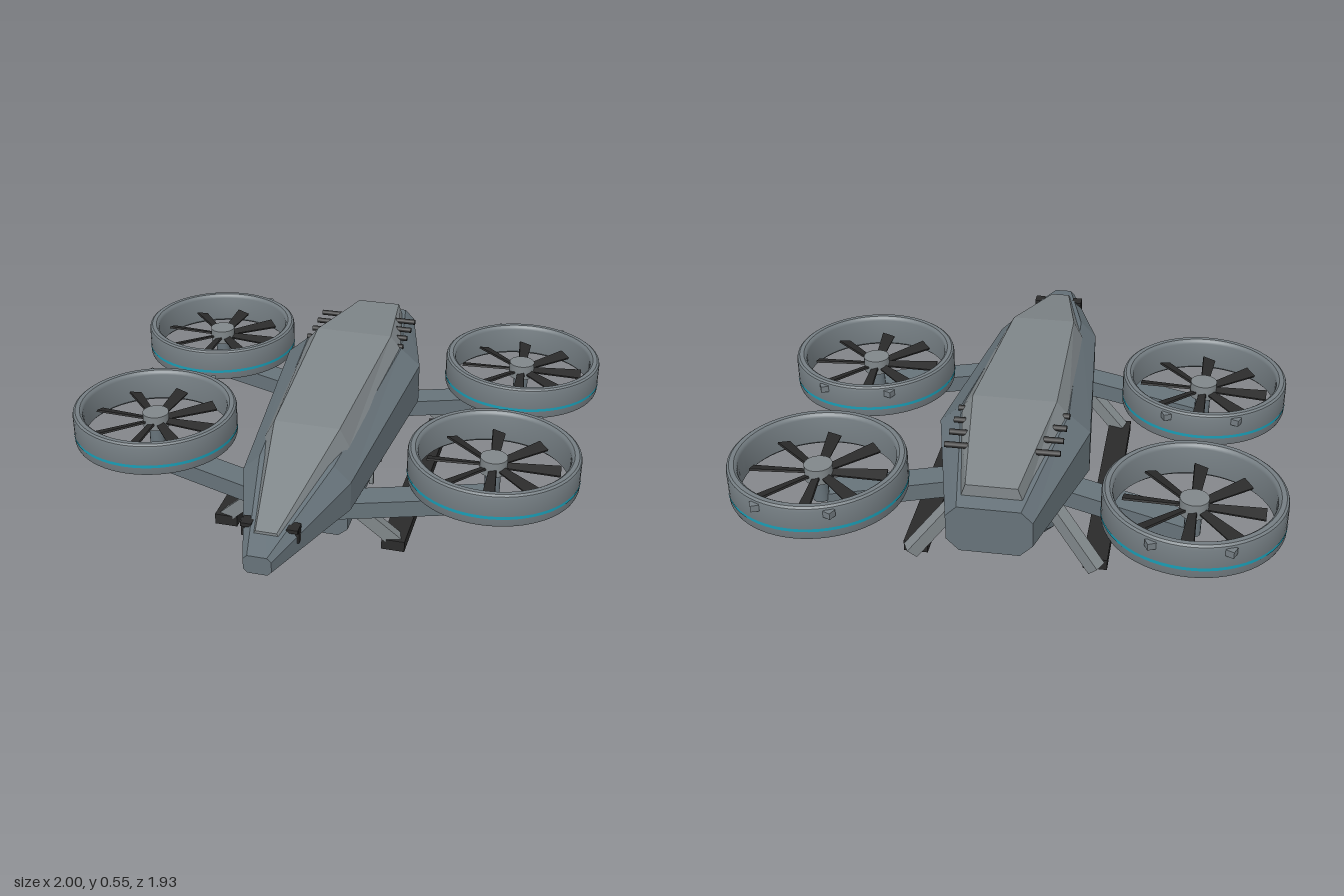
import * as THREE from 'three';
import { toCreasedNormals } from 'three/addons/utils/BufferGeometryUtils.js';

const material = (name, color, flatShading = false) => {
  const m = new THREE.MeshStandardMaterial({ color, flatShading });
  m.name = name;
  return m;
};

// Loft through sections { z, half }, where half lists [x, y] from bottom to top on the +x side.
function loft(sections) {
  const rings = sections.map(({ z, half }) => [
    ...half.map(([x, y]) => [x, y, z]),
    ...[...half].reverse().map(([x, y]) => [-x, y, z]),
  ]);
  const pos = [];
  const tri = (a, b, c) => pos.push(...a, ...b, ...c);
  const n = rings[0].length;
  for (let s = 0; s < rings.length - 1; s++) {
    const a = rings[s], b = rings[s + 1];
    for (let i = 0; i < n; i++) {
      const j = (i + 1) % n;
      tri(a[i], b[i], b[j]);
      tri(a[i], b[j], a[j]);
    }
  }
  const first = rings[0], last = rings[rings.length - 1];
  for (let i = 1; i < n - 1; i++) {
    tri(first[0], first[i], first[i + 1]);
    tri(last[0], last[i + 1], last[i]);
  }
  const g = new THREE.BufferGeometry();
  g.setAttribute('position', new THREE.Float32BufferAttribute(pos, 3));
  g.computeVertexNormals();
  return g;
}

export function createModel() {
  const root = new THREE.Group();
  root.name = 'quadRotorCraft';

  const hullGrey = material('hull grey', 0x67737a);
  const canopyGrey = material('canopy grey', 0x80878a);
  const ductGrey = material('duct grey', 0x747d82);
  const black = material('matte black', 0x2a2a2a);
  const teal = material('teal stripe', 0x1a9db5);

  const add = (parent, name, geometry, mat, x = 0, y = 0, z = 0) => {
    const mesh = new THREE.Mesh(geometry, mat);
    mesh.name = name;
    mesh.position.set(x, y, z);
    parent.add(mesh);
    return mesh;
  };
  const box = (w, h, d) => new THREE.BoxGeometry(w, h, d);

  // Rectangular bar running from point a to point b
  const beam = (name, a, b, w, h, mat) => {
    const p = new THREE.Vector3(...a), q = new THREE.Vector3(...b);
    const mesh = add(root, name, box(w, h, p.distanceTo(q)), mat);
    mesh.position.copy(p).add(q).multiplyScalar(0.5);
    mesh.lookAt(q);
    return mesh;
  };

  // Faceted hull: bottom, lower side, upper side and top corners of each section
  add(root, 'hull', loft([
    { z: 0.96, half: [[0.035, 0.27], [0.05, 0.285], [0.05, 0.325], [0.035, 0.34]] },
    { z: 0.48, half: [[0.14, 0.197], [0.203, 0.255], [0.203, 0.37], [0.14, 0.432]] },
    { z: -0.38, half: [[0.2, 0.185], [0.28, 0.265], [0.28, 0.43], [0.2, 0.5]] },
    { z: -0.91, half: [[0.105, 0.25], [0.15, 0.295], [0.15, 0.39], [0.11, 0.43]] },
  ]), hullGrey);

  // Raised canopy along the back of the hull
  add(root, 'canopy', loft([
    { z: 0.855, half: [[0.052, 0.345], [0.038, 0.37]] },
    { z: 0.34, half: [[0.162, 0.435], [0.125, 0.505]] },
    { z: -0.38, half: [[0.198, 0.495], [0.155, 0.549]] },
    { z: -0.85, half: [[0.11, 0.425], [0.09, 0.482]] },
  ]), canopyGrey);

  // Cargo pod under the belly
  const podHalf = [[0.13, 0.063], [0.167, 0.095], [0.167, 0.205]];
  add(root, 'bellyPod', loft([
    { z: 0.38, half: podHalf },
    { z: -0.52, half: podHalf },
    { z: -0.6, half: [[0.1, 0.105], [0.13, 0.125], [0.13, 0.22]] },
  ]), hullGrey);

  // Duct profile: bottom inner edge, up the outside, over the rim, down the inside
  const ductProfile = [
    [0.285, 0.28], [0.295, 0.27], [0.312, 0.27], [0.32, 0.274], [0.323, 0.282],
    [0.323, 0.388], [0.32, 0.398], [0.312, 0.404], [0.295, 0.404], [0.287, 0.398],
    [0.283, 0.388], [0.285, 0.28],
  ].map(([x, y]) => new THREE.Vector2(x, y));
  const ductGeometry = toCreasedNormals(new THREE.LatheGeometry(ductProfile, 64), 0.6);
  const stripeGeometry = new THREE.CylinderGeometry(0.325, 0.325, 0.012, 64, 1, true);
  const hubGeometry = new THREE.CylinderGeometry(0.052, 0.052, 0.06, 24);
  const postGeometry = new THREE.CylinderGeometry(0.03, 0.03, 0.1, 16);

  // Fan blade, wider towards the tip
  const bladeGeometry = box(0.21, 0.008, 0.052);
  const bp = bladeGeometry.attributes.position;
  for (let i = 0; i < bp.count; i++) if (bp.getX(i) < 0) bp.setZ(i, bp.getZ(i) * 0.55);
  bladeGeometry.rotateX(0.3);
  bladeGeometry.translate(0.145, 0, 0);

  function fan(side, z) {
    const g = new THREE.Group();
    g.name = 'ductedFan';
    g.position.set(side * 0.675, 0, z);
    root.add(g);
    add(g, 'duct', ductGeometry, ductGrey);
    add(g, 'ductStripe', stripeGeometry, teal, 0, 0.312, 0);
    add(g, 'hub', hubGeometry, canopyGrey, 0, 0.34, 0);
    add(g, 'hubPost', postGeometry, hullGrey, 0, 0.27, 0);
    for (let i = 0; i < 8; i++) {
      const blade = add(g, 'fanBlade', bladeGeometry, black, 0, 0.335, 0);
      blade.rotation.y = i * Math.PI / 4 + side * 0.06;
    }
    // Sensor studs on the rear of the duct
    for (const s of [-1, 1]) {
      const stud = add(g, 'ductStud', box(0.03, 0.025, 0.03), ductGrey, s * 0.132, 0.378, -0.298);
      stud.rotation.y = s * 0.42;
    }
  }

  for (const side of [-1, 1]) {
    // Fans and the swept arms carrying them
    fan(side, 0.165);
    fan(side, -0.645);
    beam('frontArm', [side * 0.1, 0.21, 0.4], [side * 0.67, 0.21, 0.207], 0.105, 0.068, hullGrey);
    beam('rearArm', [side * 0.1, 0.21, -0.405], [side * 0.67, 0.21, -0.607], 0.105, 0.068, hullGrey);

    // Landing gear
    beam('frontLeg', [side * 0.16, 0.21, 0.355], [side * 0.34, 0.03, 0.305], 0.05, 0.05, canopyGrey);
    beam('rearLeg', [side * 0.18, 0.22, -0.585], [side * 0.345, 0.035, -0.668], 0.05, 0.05, canopyGrey);
    add(root, 'skid', box(0.09, 0.044, 0.97), black, side * 0.335, 0.024, -0.145);

    // Pod strap and studs
    add(root, 'podStrap', box(0.018, 0.125, 0.016), canopyGrey, side * 0.173, 0.14, 0.01);
    for (const z of [0.16, -0.16, -0.33, -0.47]) {
      add(root, 'podStud', box(0.014, 0.028, 0.014), canopyGrey, side * 0.169, 0.095, z);
    }

    // Row of rods beside the canopy
    for (const z of [-0.395, -0.478, -0.56, -0.643]) {
      const rod = add(root, 'ventRod', new THREE.CylinderGeometry(0.011, 0.011, 0.09, 12), black, side * 0.16, 0.5, z);
      rod.rotation.z = Math.PI / 2;
    }

    // Nose sensors: a short cap with a fin hanging down
    add(root, 'noseSensorCap', box(0.04, 0.014, 0.05), black, side * 0.083, 0.365, 0.8);
    add(root, 'noseSensorFin', box(0.012, 0.055, 0.025), black, side * 0.098, 0.34, 0.8);
  }

  return root;
}
